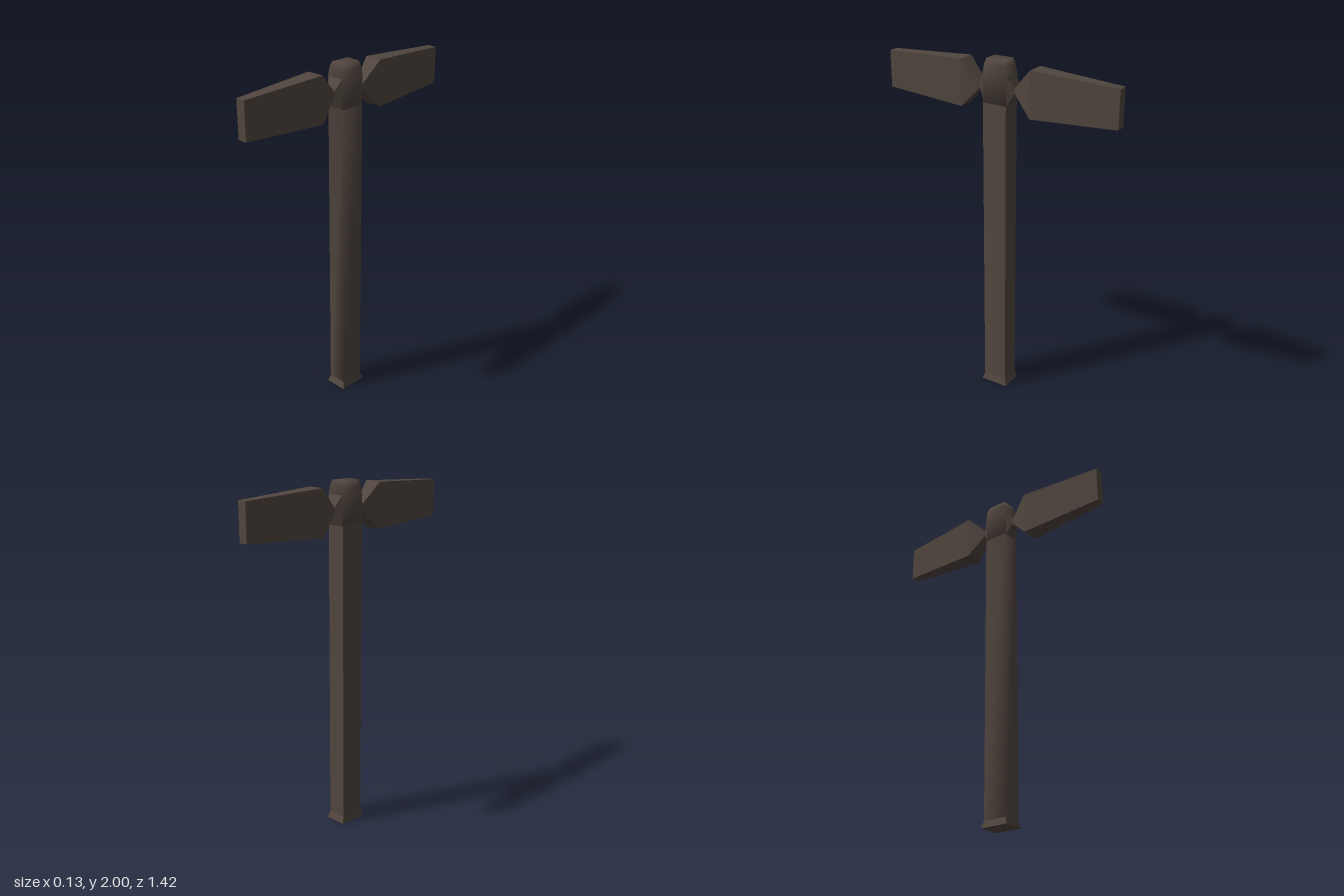
import * as THREE from 'three';

// Rectangular ring at height y, counter-clockwise from the back right corner.
const ring = (y, hx, hz) => [[-hx, y, -hz], [-hx, y, hz], [hx, y, hz], [hx, y, -hz]];

// Skin a stack of rings with quads; smooth shares normals across the corners.
function loft(rings, { smooth = false, closed = true, caps = false } = {}) {
  const n = rings[0].length;
  const index = [];
  for (let i = 0; i < rings.length - 1; i++) {
    for (let j = 0; j < (closed ? n : n - 1); j++) {
      const k = (j + 1) % n;
      const a = i * n + j, b = i * n + k, c = a + n, d = b + n;
      index.push(a, b, d, a, d, c);
    }
  }
  if (caps) {
    const t = (rings.length - 1) * n;
    index.push(0, 2, 1, 0, 3, 2, t, t + 1, t + 2, t, t + 2, t + 3);
  }
  let geometry = new THREE.BufferGeometry();
  geometry.setAttribute('position', new THREE.Float32BufferAttribute(rings.flat(2), 3));
  geometry.setIndex(index);
  if (!smooth) geometry = geometry.toNonIndexed();
  geometry.computeVertexNormals();
  return geometry;
}

export function createModel() {
  const model = new THREE.Group();
  model.name = 'bladedPost';
  const darkBrown = new THREE.MeshStandardMaterial({ color: 0x51463f });
  darkBrown.name = 'darkBrown';

  const add = (name, geometry) => {
    const mesh = new THREE.Mesh(geometry, darkBrown);
    mesh.name = name;
    model.add(mesh);
    return mesh;
  };

  // Flared foot
  add('foot', loft([ring(0, 0.065, 0.085), ring(0.04, 0.055, 0.072)], { caps: true }));

  // Shaft: softened front corners, crisp flat back
  const low = ring(0.04, 0.055, 0.072), high = ring(1.76, 0.055, 0.072);
  add('shaft', loft([low, high], { smooth: true, closed: false }));
  add('shaftBack', loft([[low[3], low[0]], [high[3], high[0]]], { closed: false }));

  // Head with a softened, tapering crown
  add('head', loft([
    ring(1.76, 0.055, 0.072), ring(1.92, 0.055, 0.074),
    ring(1.97, 0.053, 0.064), ring(2, 0.04, 0.057),
  ], { smooth: true, caps: true }));

  // Blades: pinched at the root, widest near it, tapering to the tip
  const section = (z, hx, y0, y1) => [[-hx, y0, z], [hx, y0, z], [hx, y1, z], [-hx, y1, z]];
  const bladeGeometry = loft([
    section(0.07, 0.05, 1.755, 1.93),
    section(0.107, 0.025, 1.83, 1.86),
    section(0.215, 0.052, 1.715, 1.975),
    section(0.71, 0.028, 1.74, 1.95),
  ], { caps: true });
  add('frontBlade', bladeGeometry);
  add('backBlade', bladeGeometry).rotation.y = Math.PI;

  return model;
}
